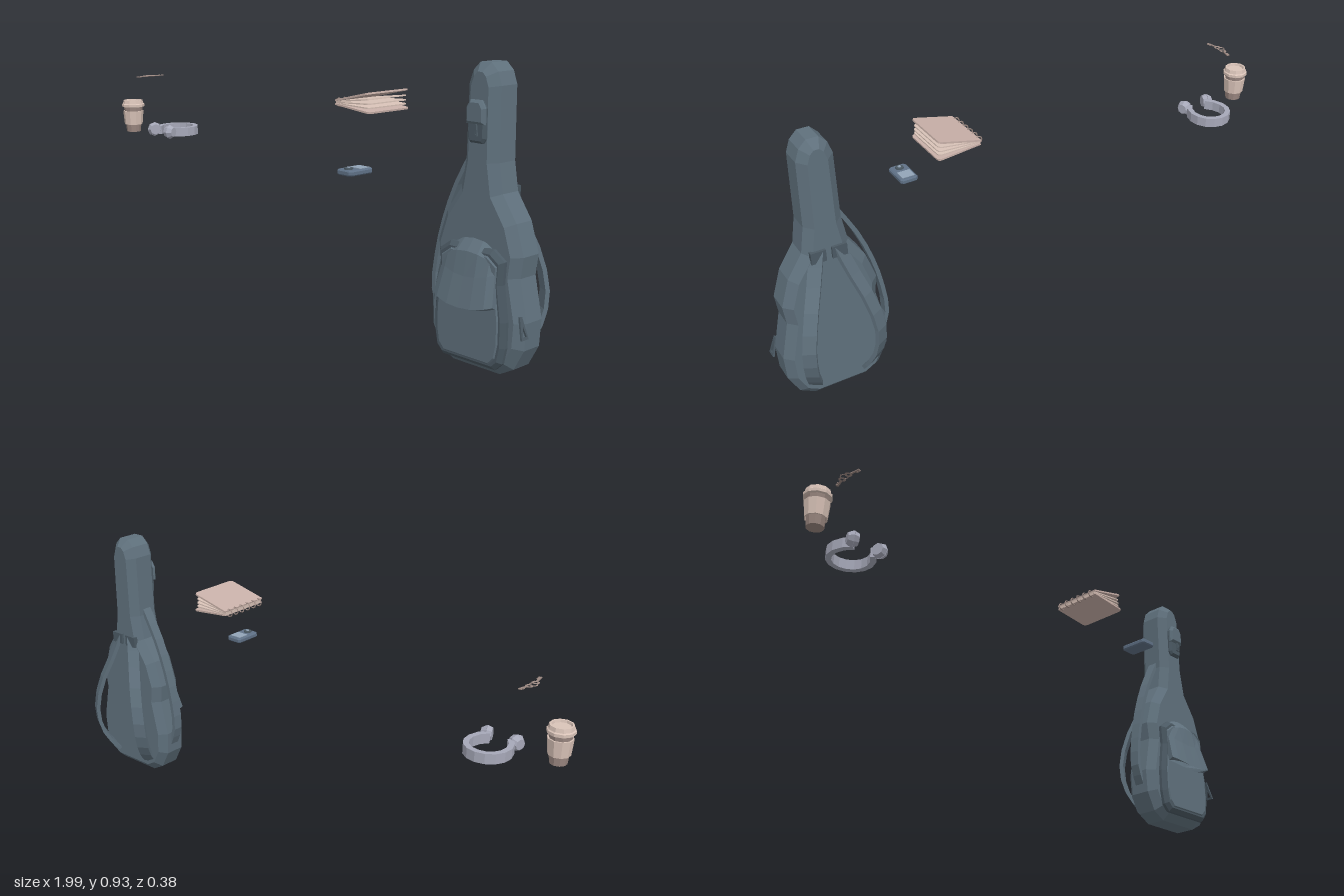
import * as THREE from 'three';

const V = (x, y, z) => new THREE.Vector3(x, y, z);
const mat = (color) => new THREE.MeshStandardMaterial({ color, flatShading: true, side: THREE.DoubleSide });
const CASE = mat(0x5f707c), DARK = mat(0x4b5963), PAPER = mat(0xc8b0a8), CARD = mat(0x9a8780),
  CREAM = mat(0xd9c3b8), SILVER = mat(0xa6a8b8), BLUE = mat(0x5f7186), GLASS = mat(0x93a5b8);

function add(parent, name, geometry, material, x = 0, y = 0, z = 0) {
  const m = new THREE.Mesh(geometry, material);
  m.name = name;
  m.position.set(x, y, z);
  parent.add(m);
  return m;
}

function group(parent, name, x, y, z) {
  const g = new THREE.Group();
  g.name = name;
  g.position.set(x, y, z);
  parent.add(g);
  return g;
}

// Skin over closed rings of points, with both ends capped
function loft(rings) {
  const k = rings[0].length, idx = [], last = (rings.length - 1) * k;
  for (let r = 0; r < rings.length - 1; r++)
    for (let i = 0; i < k; i++) {
      const a = r * k + i, b = r * k + (i + 1) % k;
      idx.push(a, b, b + k, a, b + k, a + k);
    }
  for (let i = 1; i < k - 1; i++) idx.push(0, i + 1, i, last, last + i, last + i + 1);
  const g = new THREE.BufferGeometry().setFromPoints(rings.flat());
  g.setIndex(idx);
  g.computeVertexNormals();
  return g;
}

// Flat band following a curve; widthDir stays constant
function band(points, widthDir, width, thick, steps) {
  const curve = new THREE.CatmullRomCurve3(points), w = widthDir.clone().normalize(), rings = [];
  for (let i = 0; i <= steps; i++) {
    const p = curve.getPoint(i / steps);
    const n = curve.getTangent(i / steps).cross(w).normalize();
    rings.push([[1, 1], [-1, 1], [-1, -1], [1, -1]].map(([a, b]) =>
      p.clone().addScaledVector(w, a * width / 2).addScaledVector(n, b * thick / 2)));
  }
  return loft(rings);
}

// Mirrored outline given by its +x half, bottom to top
function mirrored(half) {
  const left = half.map(([x, y]) => [-x, y]).reverse();
  return new THREE.Shape([...half, ...left].map(([x, y]) => new THREE.Vector2(x, y)));
}

// Bevelled slab from z0 to z1; the outline is its widest section
function slab(shape, z0, z1, bevel, backBevel = true) {
  const depth = z1 - z0 - (backBevel ? 2 : 1) * bevel;
  const g = new THREE.ExtrudeGeometry(shape, {
    depth, bevelEnabled: true, bevelSegments: 1, bevelSize: bevel, bevelThickness: bevel, bevelOffset: -bevel, curveSegments: 3,
  });
  return g.translate(0, 0, z1 - depth - bevel);
}

// Zipper pull: tapered tab with a slot
function pullGeometry(h, w) {
  const s = mirrored([[w / 2, -h], [w / 6, 0]]);
  s.holes.push(new THREE.Path([[-w * 0.28, -h * 0.88], [0, -h * 0.4], [w * 0.28, -h * 0.88]].map(([x, y]) => new THREE.Vector2(x, y))));
  return new THREE.ExtrudeGeometry(s, { depth: 0.006, bevelEnabled: false });
}

function buildCase(root) {
  const g = group(root, 'guitarCase', 0.805, 0, 0);
  const outline = [[0.09, 0], [0.14, 0.028], [0.175, 0.095], [0.18, 0.18], [0.152, 0.31], [0.16, 0.375],
    [0.13, 0.47], [0.077, 0.55], [0.062, 0.64], [0.059, 0.865], [0.045, 0.905], [0.02, 0.93]];
  add(g, 'caseBody', slab(mirrored(outline), -0.113, 0.013, 0.027), CASE);

  // Lower front pocket and its raised flap
  const pocket = [[0.1, 0.025], [0.125, 0.05], [0.135, 0.1], [0.135, 0.18], [0.118, 0.29], [0.122, 0.36], [0.08, 0.39]];
  add(g, 'frontPocket', slab(mirrored(pocket), 0, 0.037, 0.013), DARK);
  const inner = pocket.map(([x, y]) => [x * 0.86, 0.205 + (y - 0.205) * 0.9]);
  add(g, 'pocketPanel', slab(mirrored(inner), 0.03, 0.041, 0.004), CASE);
  const flapRows = [[0.41, 0.016, 0.085], [0.375, 0.047, 0.098], [0.3, 0.06, 0.1], [0.208, 0.083, 0.112]];
  const cols = [1, 0.8, 0.4, 0, -0.4, -0.8, -1];
  add(g, 'pocketFlap', loft(flapRows.map(([y, z, w], r) => {
    const front = cols.map((u) => V(u * w, y + (r < 2 ? -0.025 : 0.02) * u * u, z - 0.02 * u ** 4));
    const back = front.map((p) => V(p.x * 0.97, p.y - 0.008, p.z - 0.02)).reverse();
    return [...front, ...back];
  })), CASE);

  // Small pocket on the neck
  add(g, 'neckPocket', slab(mirrored([[0.024, 0.695], [0.033, 0.71], [0.033, 0.8], [0.02, 0.82]]), 0, 0.026, 0.008), DARK);
  add(g, 'neckPocketFlap', slab(mirrored([[0.034, 0.752], [0.034, 0.8], [0.02, 0.823]]), 0.012, 0.035, 0.008), CASE);
  add(g, 'neckZipperPull', pullGeometry(0.035, 0.014), DARK, 0.005, 0.753, 0.028);

  // Zipper pull on the side seam
  const pull = add(g, 'sideZipperPull', pullGeometry(0.068, 0.032), DARK, 0.167, 0.202, 0.005);
  pull.rotation.set(0, Math.PI / 2, 0.28, 'ZYX');

  // Back straps splayed outward
  for (const s of [-1, 1]) {
    const pts = [[0.035, 0.555, -0.105], [0.06, 0.47, -0.128], [0.1, 0.35, -0.165], [0.122, 0.24, -0.178],
      [0.118, 0.15, -0.165], [0.1, 0.08, -0.13], [0.09, 0.05, -0.105]].map(([x, y, z]) => V(s * x, y, z));
    add(g, 'shoulderStrap', band(pts, V(s * 0.85, 0, 0.5), 0.044, 0.014, 10), CASE);
    add(g, 'strapAnchor', new THREE.BoxGeometry(0.05, 0.04, 0.016), DARK, s * 0.035, 0.54, -0.114);
  }

  // Long carrying strap along the right edge
  add(g, 'sideStrap', band([V(-0.055, 0.66, -0.05), V(-0.115, 0.55, -0.05), V(-0.16, 0.43, -0.05), V(-0.187, 0.31, -0.05),
    V(-0.195, 0.2, -0.05), V(-0.17, 0.13, -0.05)], V(0, 0, 1), 0.036, 0.014, 10), CASE);
}

function buildCup(root) {
  const g = group(root, 'coffeeCup', -0.955, 0.53, 0.045);
  const lathe = (pts) => new THREE.LatheGeometry(pts.map(([x, y]) => new THREE.Vector2(x, y)), 10);
  add(g, 'cup', lathe([[0, 0], [0.028, 0], [0.038, 0.105], [0, 0.105]]), CARD);
  add(g, 'sleeve', lathe([[0.032, 0.03], [0.036, 0.03], [0.041, 0.085], [0.036, 0.085]]), CREAM);
  add(g, 'lid', lathe([[0.037, 0.1], [0.045, 0.102], [0.045, 0.112], [0.041, 0.115], [0.038, 0.128], [0.032, 0.128], [0.03, 0.12], [0, 0.12]]), CREAM);
}

function buildHeadphones(root) {
  const g = group(root, 'headphones', -0.762, 0.55, -0.042);
  const arc = [];
  for (let i = 0; i <= 10; i++) {
    const a = -2.55 + 5.1 * i / 10;
    arc.push(V(0.068 * Math.sin(a), 0, -0.068 * Math.cos(a) * (Math.abs(a) > 1.6 ? 1.2 : 1)));
  }
  add(g, 'headband', band(arc, V(0, 1, 0), 0.034, 0.019, 12), SILVER);
  for (const s of [-1, 1]) {
    const ear = group(g, 'earCup', s * 0.05, 0.004, 0.082);
    ear.rotation.y = s * 0.35;
    const shell = add(ear, 'earShell', new THREE.CylinderGeometry(0.018, 0.028, 0.018, 8), SILVER, s * 0.012);
    const pad = add(ear, 'earPad', new THREE.CylinderGeometry(0.027, 0.021, 0.016, 8), SILVER, -s * 0.006);
    shell.rotation.z = pad.rotation.z = -s * Math.PI / 2;
  }
}

function buildNotebook(root) {
  const g = group(root, 'notebook', 0.255, 0.765, -0.023);
  // Sheet outline with its two free corners rounded
  const leaf = (w, d, t) => {
    const r = 0.015, s = new THREE.Shape();
    s.moveTo(0, -d / 2).lineTo(w - r, -d / 2).quadraticCurveTo(w, -d / 2, w, -d / 2 + r);
    s.lineTo(w, d / 2 - r).quadraticCurveTo(w, d / 2, w - r, d / 2).lineTo(0, d / 2);
    return new THREE.ExtrudeGeometry(s, { depth: t, bevelEnabled: false, curveSegments: 3 }).rotateX(-Math.PI / 2);
  };
  [-0.1, -0.02, 0.05, 0.13, 0.23].forEach((angle, i) => {
    const cover = i === 0 || i === 4;
    const m = add(g, cover ? 'cover' : 'pages', leaf(cover ? 0.153 : 0.148, cover ? 0.19 : 0.18, cover ? 0.006 : 0.004),
      cover ? PAPER : CREAM, 0.008, -0.006 + i * 0.003, 0);
    m.rotation.z = angle;
  });
  for (let i = 0; i < 6; i++)
    add(g, 'bindingRing', new THREE.TorusGeometry(0.013, 0.0025, 4, 10), CARD, 0.006, 0.001, -0.075 + i * 0.03);
}

function buildPlayer(root) {
  const g = group(root, 'musicPlayer', 0.423, 0.564, 0.137);
  const body = mirrored([[0.024, -0.052], [0.032, -0.044], [0.032, 0.044], [0.024, 0.052]]);
  add(g, 'playerBody', slab(body, 0, 0.018, 0.004).rotateX(-Math.PI / 2), BLUE);
  add(g, 'screen', new THREE.BoxGeometry(0.046, 0.004, 0.042), GLASS, 0, 0.018, -0.02);
  add(g, 'controlWheel', new THREE.CylinderGeometry(0.014, 0.015, 0.006, 10), DARK, 0, 0.02, 0.028);
  add(g, 'centreButton', new THREE.CylinderGeometry(0.006, 0.006, 0.004, 8), GLASS, 0, 0.0235, 0.028);
}

function buildKeys(root) {
  const g = group(root, 'keys', -0.858, 0.763, 0.03);
  add(g, 'keyRing', new THREE.TorusGeometry(0.012, 0.002, 4, 10).rotateX(Math.PI / 2), CARD);
  for (const [turn, len] of [[0.15, 0.05], [2.85, 0.045]]) {
    const key = group(g, 'key', 0, 0, 0);
    key.rotation.y = turn;
    add(key, 'keyHead', new THREE.TorusGeometry(0.009, 0.004, 4, 8).rotateX(Math.PI / 2).scale(1, 0.5, 1), CARD, 0, 0, 0.018);
    add(key, 'keyBlade', new THREE.BoxGeometry(0.006, 0.003, len - 0.01), CARD, 0, 0, 0.02 + len / 2);
    for (let i = 0; i < 2; i++)
      add(key, 'keyTooth', new THREE.BoxGeometry(0.006, 0.003, 0.006), CARD, 0.005, 0, 0.01 + len - i * 0.01);
  }
}

export function createModel() {
  const root = new THREE.Group();
  root.name = 'travelSet';
  [buildCase, buildCup, buildHeadphones, buildNotebook, buildPlayer, buildKeys].forEach((build) => build(root));
  return root;
}
